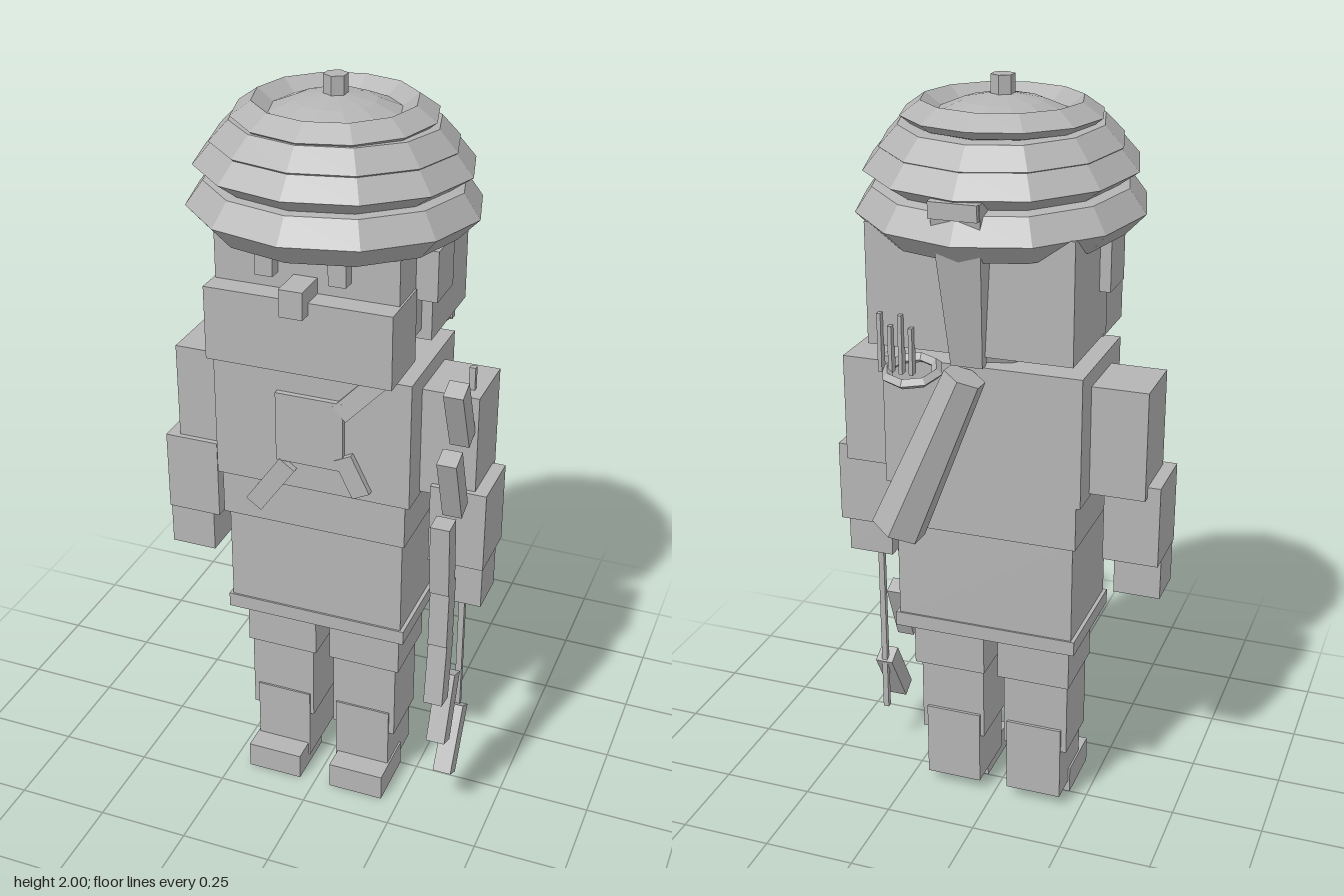
import * as THREE from 'three';

export function createModel() {
  const model = new THREE.Group();
  const stone = new THREE.MeshStandardMaterial({ color: 0xb4b4b4, flatShading: true, side: THREE.DoubleSide });
  stone.name = 'plain grey';

  const add = (name, geometry, parent = model) => {
    const mesh = new THREE.Mesh(geometry, stone);
    mesh.name = name;
    parent.add(mesh);
    return mesh;
  };
  // Box given by its limits on each axis
  const box = (name, [x0, x1], [y0, y1], [z0, z1]) => {
    const mesh = add(name, new THREE.BoxGeometry(x1 - x0, y1 - y0, z1 - z0));
    mesh.position.set((x0 + x1) / 2, (y0 + y1) / 2, (z0 + z1) / 2);
    return mesh;
  };
  // The same box on both sides of the body
  const pair = (name, [x0, x1], y, z) => {
    box(name + 'Left', [x0, x1], y, z);
    box(name + 'Right', [-x1, -x0], y, z);
  };
  // Bar running from one point to another
  const bar = (name, from, to, geometryFor) => {
    const a = new THREE.Vector3(...from), b = new THREE.Vector3(...to);
    const mesh = add(name, geometryFor(a.distanceTo(b)));
    mesh.position.copy(a).add(b).multiplyScalar(0.5);
    mesh.quaternion.setFromUnitVectors(new THREE.Vector3(0, 1, 0), b.sub(a).normalize());
    return mesh;
  };

  // Legs and feet
  pair('thigh', [0.02, 0.22], [0.4, 0.56], [-0.1, 0.1]);
  pair('shin', [0.03, 0.21], [0.18, 0.4], [-0.075, 0.095]);
  pair('boot', [0.04, 0.195], [0.035, 0.25], [-0.083, 0.1]);
  pair('foot', [0.045, 0.2], [0, 0.075], [0, 0.165]);

  // Tunic
  box('hem', [-0.25, 0.25], [0.54, 0.58], [-0.155, 0.155]);
  box('skirt', [-0.24, 0.24], [0.57, 0.86], [-0.15, 0.15]);
  box('belt', [-0.25, 0.25], [0.85, 0.975], [-0.162, 0.165]);
  box('torso', [-0.262, 0.262], [0.97, 1.315], [-0.165, 0.17]);

  // Chest plate and its straps
  box('chestPlate', [-0.09, 0.09], [1.05, 1.24], [0.16, 0.185]);
  const strap = (len) => new THREE.BoxGeometry(0.05, len, 0.025);
  bar('shoulderStrap', [0.08, 1.21, 0.175], [0.2, 1.335, 0.16], strap);
  bar('lowerStrap', [-0.06, 1.04, 0.175], [-0.155, 0.905, 0.175], strap);
  bar('sideStrap', [0.09, 1.09, 0.175], [0.14, 0.99, 0.175], strap);

  // Arms
  pair('upperArm', [0.255, 0.408], [0.98, 1.27], [-0.087, 0.09]);
  pair('forearm', [0.295, 0.442], [0.79, 1.01], [-0.065, 0.105]);
  pair('hand', [0.315, 0.44], [0.675, 0.8], [-0.02, 0.1]);

  // Head
  add('neck', new THREE.CylinderGeometry(0.14, 0.1, 0.1, 10)).position.set(0, 1.345, -0.02);
  box('face', [-0.235, 0.235], [1.4, 1.68], [0.02, 0.195]);
  box('backOfHead', [-0.262, 0.262], [1.375, 1.68], [-0.247, 0.03]);
  box('scarf', [-0.24, 0.24], [1.34, 1.53], [0.085, 0.255]);
  box('nose', [-0.03, 0.03], [1.5, 1.57], [0.18, 0.29]);
  pair('eye', [0.07, 0.115], [1.57, 1.63], [0.18, 0.23]);
  pair('ear', [0.23, 0.29], [1.5, 1.63], [-0.04, 0.08]);

  // Wrapped hat: slightly tilted twelve-sided rolls
  const rolls = [
    [1.69, [[0, -0.03], [0.17, -0.05], [0.31, -0.055], [0.363, 0], [0.32, 0.06], [0.25, 0.07]]],
    [1.79, [[0.25, -0.04], [0.285, -0.04], [0.342, 0], [0.295, 0.055], [0.22, 0.06]]],
    [1.845, [[0.22, -0.03], [0.26, -0.035], [0.302, 0], [0.255, 0.05], [0.21, 0.05]]],
    [1.91, [[0.19, -0.03], [0.225, -0.02], [0.25, 0], [0.2, 0.035], [0.16, 0.005], [0.1, 0.03], [0, 0.05]]],
  ];
  rolls.forEach(([y, profile], i) => {
    const points = profile.map(([r, h]) => new THREE.Vector2(r, h));
    const roll = add('hatRoll' + (i + 1), new THREE.LatheGeometry(points, 12));
    roll.position.y = y;
    roll.rotation.x = i < 3 ? -0.045 : 0;
  });
  add('hatStem', new THREE.CylinderGeometry(0.03, 0.03, 0.07, 6)).position.y = 1.965;

  // Cloth tail hanging from the hat, wider at the top
  const tail = new THREE.BoxGeometry(0.09, 0.42, 0.03);
  const p = tail.attributes.position;
  for (let i = 0; i < p.count; i++) {
    const top = p.getY(i) > 0, back = p.getZ(i) < 0;
    p.setX(i, p.getX(i) * (top ? 1.4 : 0.9));
    p.setZ(i, back ? (top ? -0.335 : -0.262) : -0.235);
  }
  tail.computeVertexNormals();
  add('hatTail', tail).position.y = 1.56;
  box('hatKnot', [-0.06, 0.06], [1.73, 1.77], [-0.345, -0.28]);

  // Quiver slung across the back, with rim and shafts
  bar('quiver', [0.19, 0.89, -0.258], [0.02, 1.31, -0.222],
    (len) => new THREE.CylinderGeometry(0.055, 0.072, len, 6));
  const rim = add('quiverRim', new THREE.TorusGeometry(0.065, 0.014, 4, 8));
  rim.rotation.x = Math.PI / 2 - 0.2;
  rim.position.set(0.15, 1.315, -0.24);
  for (let i = 0; i < 4; i++) {
    const x = 0.14 + i * 0.027;
    box('arrow' + (i + 1), [x, x + 0.01], [1.31, 1.43 + (i % 2) * 0.03], [-0.262, -0.24]);
  }

  // Bow in the left hand: straight segments and a string
  const bow = [
    [1.25, 0.145, 23, 0.18], [1.075, 0.18, 20, 0.19], [0.9, 0.238, 4, 0.2], [0.73, 0.228, -2, 0.18],
    [0.56, 0.238, -8, 0.19], [0.395, 0.182, -22, 0.19], [0.225, 0.1, -30, 0.19],
  ];
  bow.forEach(([y, z, tilt, len], i) => {
    const part = add('bowSegment' + (i + 1), new THREE.BoxGeometry(0.05, len, 0.052));
    part.position.set(0.375, y, z);
    part.rotation.x = THREE.MathUtils.degToRad(tilt);
  });
  box('bowString', [0.367, 0.383], [0.14, 1.33], [0.035, 0.05]);

  return model;
}
